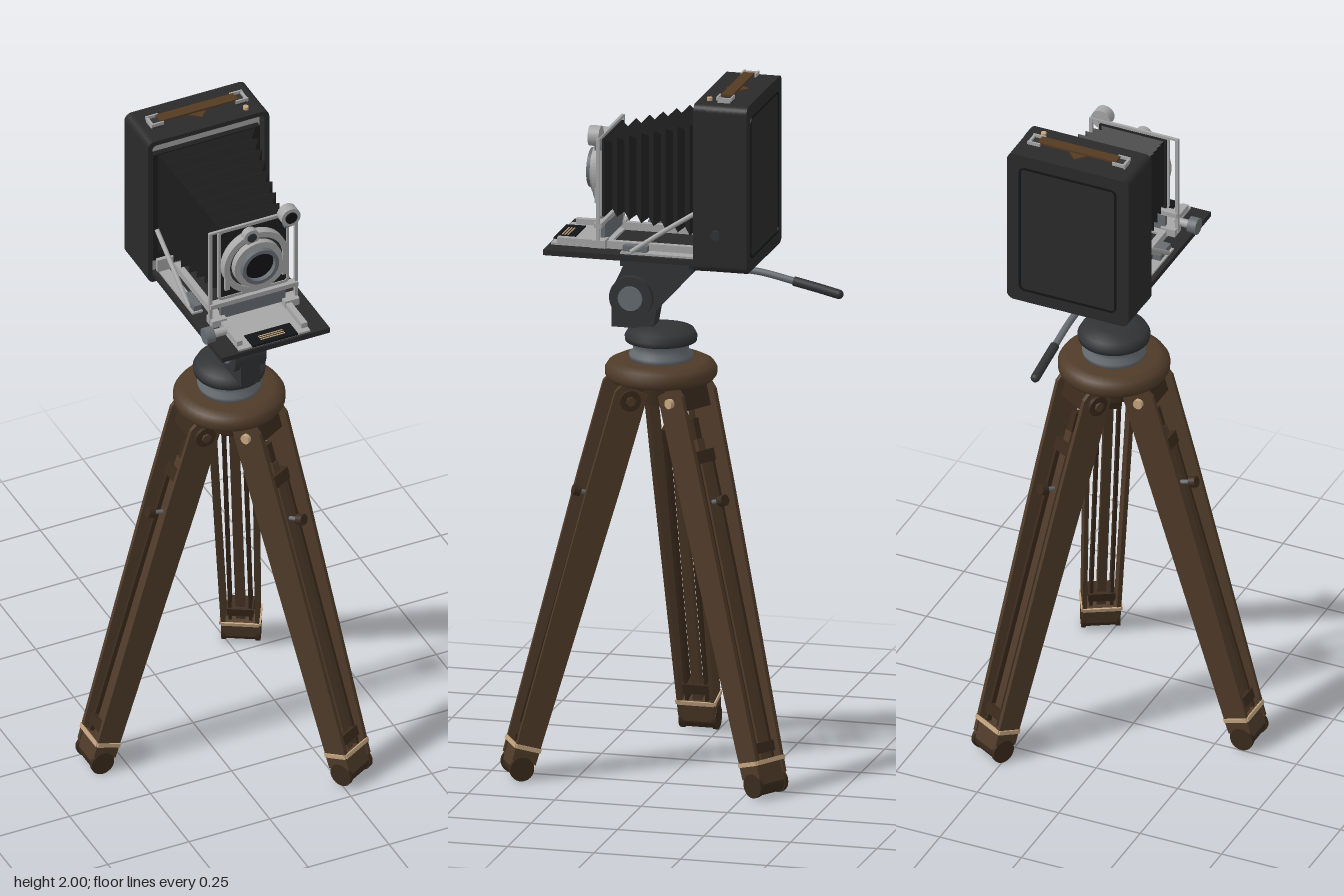
import * as THREE from 'three';

const mat = (name, hex, side = THREE.FrontSide) => {
  const m = new THREE.MeshStandardMaterial({ color: hex, side });
  m.name = name;
  return m;
};

export function createModel() {
  const wood = mat('brown wood', 0x4f3b29);
  const darkWood = mat('dark wood', 0x3a2a1c);
  const black = mat('black leather', 0x2a2a2b);
  const bellowsMat = mat('bellows black', 0x1f1f20, THREE.DoubleSide);
  const headMat = mat('head black', 0x313335);
  const silver = mat('silver', 0xa6a6a6);
  const steel = mat('steel', 0x666c71);
  const tan = mat('tan brass', 0xc4a480);
  const strapMat = mat('strap brown', 0x553a22);
  const lensMat = mat('lens black', 0x131416);

  const root = new THREE.Group();
  root.name = 'cameraOnTripod';
  const add = (parent, name, geo, material, x = 0, y = 0, z = 0) => {
    const m = new THREE.Mesh(geo, material);
    m.name = name;
    m.position.set(x, y, z);
    parent.add(m);
    return m;
  };
  const box = (p, name, w, h, d, m, x, y, z) => add(p, name, new THREE.BoxGeometry(w, h, d), m, x, y, z);
  // cylinder along a chosen axis
  const cyl = (p, name, r, len, m, x, y, z, axis = 'y', seg = 24) => {
    const g = new THREE.CylinderGeometry(r, r, len, seg);
    if (axis === 'x') g.rotateZ(Math.PI / 2);
    if (axis === 'z') g.rotateX(Math.PI / 2);
    return add(p, name, g, m, x, y, z);
  };
  const rod = (p, name, pts, r, m) => add(p, name, new THREE.TubeGeometry(
    new THREE.CatmullRomCurve3(pts.map(a => new THREE.Vector3(...a))), 16, r, 10), m);
  const roundRect = (w, h, r, S = THREE.Shape) => {
    const s = new S(), a = w / 2 - r, b = h / 2 - r;
    s.absarc(a, b, r, 0, Math.PI / 2);
    s.absarc(-a, b, r, Math.PI / 2, Math.PI);
    s.absarc(-a, -b, r, Math.PI, 1.5 * Math.PI);
    s.absarc(a, -b, r, 1.5 * Math.PI, 2 * Math.PI);
    s.closePath();
    return s;
  };
  const slab = (shape, depth) => new THREE.ExtrudeGeometry(shape, { depth, bevelEnabled: false, curveSegments: 6 });
  const frame = (w, h, t, depth, r = 0.02) => {
    const s = roundRect(w, h, r);
    s.holes.push(roundRect(w - 2 * t, h - 2 * t, r * 0.6, THREE.Path));
    return slab(s, depth);
  };
  const lathe = pts => new THREE.LatheGeometry(pts.map(p => new THREE.Vector2(...p)), 40);

  // ---------- tripod ----------
  const tripod = new THREE.Group();
  tripod.name = 'tripod';
  tripod.position.set(0.085, 0, 0.055);
  root.add(tripod);
  add(tripod, 'hubDisc', lathe([[0, 1.13], [0.148, 1.13], [0.157, 1.142], [0.157, 1.16], [0.148, 1.174], [0.125, 1.185], [0, 1.188]]), wood);
  cyl(tripod, 'hubCore', 0.075, 0.07, darkWood, 0, 1.1, 0);

  const L = 1.11, lean = Math.atan2(0.31, 1.065);
  const boardShape = new THREE.Shape();
  boardShape.moveTo(-0.035, 0.02);
  boardShape.lineTo(0.035, 0.02);
  boardShape.lineTo(0.047, 0.85);
  boardShape.lineTo(0.047, L);
  boardShape.lineTo(0.03, L + 0.03);
  boardShape.lineTo(-0.047, L + 0.01);
  boardShape.lineTo(-0.047, 0.85);
  boardShape.closePath();
  for (const angle of [Math.PI, Math.PI / 3, -Math.PI / 3]) {
    const arm = new THREE.Group();
    arm.name = 'legMount';
    arm.rotation.y = angle;
    tripod.add(arm);
    const leg = new THREE.Group();
    leg.name = 'leg';
    leg.position.set(0.415, 0.036, 0);
    leg.rotation.z = lean;
    arm.add(leg);
    for (const s of [-1, 1]) {
      const side = new THREE.Group();
      side.name = 'legSide';
      side.position.z = s * 0.047;
      side.rotation.x = s * 0.015;
      leg.add(side);
      add(side, 'sideBoard', slab(boardShape, 0.012), wood, 0, 0, -0.006);
      box(leg, 'innerRail', 0.04, 0.93, 0.009, darkWood, 0, 0.48, s * 0.029);
      cyl(leg, 'footSide', 0.0345, 0.012, darkWood, 0, 0, s * 0.048, 'z');
      box(leg, 'footBand', 0.072, 0.012, 0.006, tan, 0, 0.062, s * 0.055);
      box(leg, 'footBandFace', 0.005, 0.012, 0.106, tan, s * 0.037, 0.062, 0);
    }
    // sliding centre slat, cross pieces and clamp
    box(leg, 'centreSlat', 0.03, 0.96, 0.026, wood, 0, 0.5, 0);
    box(leg, 'slatTip', 0.025, 0.08, 0.02, darkWood, 0, 1.0, 0);
    box(leg, 'upperCrossbar', 0.05, 0.035, 0.068, darkWood, 0, 0.93, 0);
    box(leg, 'lowerCrossbar', 0.05, 0.03, 0.075, darkWood, 0, 0.1, 0);
    box(leg, 'footBlock', 0.062, 0.06, 0.104, wood, 0, 0.03, 0);
    cyl(leg, 'footRound', 0.031, 0.1, darkWood, 0, 0, 0, 'z');
    cyl(leg, 'clampKnob', 0.016, 0.02, darkWood, 0.055, 0.8, 0, 'x', 16);
    cyl(leg, 'clampScrew', 0.006, 0.06, steel, 0.03, 0.8, 0, 'x', 10);
    // hinge at the hub
    box(leg, 'hingeBlock', 0.06, 0.07, 0.11, darkWood, -0.005, L - 0.01, 0);
    cyl(leg, 'hingeKnob', 0.03, 0.014, darkWood, 0, L - 0.015, -0.073, 'z');
    cyl(leg, 'hingeNut', 0.014, 0.01, wood, 0, L - 0.015, -0.081, 'z', 6);
    cyl(leg, 'hingeBolt', 0.014, 0.016, tan, 0, L - 0.015, 0.074, 'z', 12);
  }

  // ---------- pan and tilt head ----------
  const head = new THREE.Group();
  head.name = 'panHead';
  root.add(head);
  add(head, 'panBase', lathe([[0, 1.185], [0.088, 1.185], [0.09, 1.2], [0.078, 1.21], [0.078, 1.235], [0.098, 1.24], [0, 1.24]]), steel, 0.085, 0, 0.055);
  add(head, 'panDisc', lathe([[0, 1.238], [0.1, 1.238], [0.102, 1.252], [0.092, 1.27], [0.05, 1.282], [0, 1.282]]), headMat, 0.085, 0, 0.055);
  const neck = new THREE.Shape();
  [[-0.19, 1.275], [-0.07, 1.275], [-0.06, 1.33], [0.04, 1.44], [0.045, 1.465], [-0.15, 1.465], [-0.19, 1.38]]
    .forEach(([x, y], i) => i ? neck.lineTo(x, y) : neck.moveTo(x, y));
  const neckGeo = slab(neck, 0.06);
  neckGeo.rotateY(Math.PI / 2);
  add(head, 'tiltNeck', neckGeo, headMat, 0.058, 0, 0);
  cyl(head, 'tiltBarrel', 0.062, 0.096, headMat, 0.088, 1.365, 0.13, 'x', 32);
  cyl(head, 'tiltCap', 0.035, 0.11, steel, 0.088, 1.365, 0.13, 'x');
  box(head, 'topPlate', 0.135, 0.022, 0.2, headMat, 0.088, 1.474, 0.055);
  box(head, 'mountPlate', 0.12, 0.024, 0.15, headMat, 0.088, 1.495, 0.055);
  rod(head, 'panRod', [[0.09, 1.465, 0.0], [0.09, 1.462, -0.12], [0.09, 1.457, -0.23], [0.09, 1.435, -0.34]], 0.01, steel);
  rod(head, 'panGrip', [[0.09, 1.437, -0.33], [0.09, 1.422, -0.4], [0.09, 1.408, -0.46]], 0.0135, headMat);
  add(head, 'gripEnd', new THREE.SphereGeometry(0.0135, 14, 10), headMat, 0.09, 1.408, -0.46);

  // ---------- camera body ----------
  const cam = new THREE.Group();
  cam.name = 'bellowsCamera';
  cam.position.x = 0.09;
  root.add(cam);
  add(cam, 'body', slab(roundRect(0.374, 0.484, 0.022), 0.116), black, 0, 1.738, -0.244);
  add(cam, 'bodyRim', frame(0.374, 0.484, 0.014, 0.038), black, 0, 1.738, -0.128);
  add(cam, 'backPanel', frame(0.3, 0.41, 0.006, 0.004), lensMat, 0, 1.738, -0.247);
  box(cam, 'frontLining', 0.344, 0.452, 0.006, silver, 0, 1.738, -0.125);
  box(cam, 'bellowsBoard', 0.33, 0.365, 0.02, bellowsMat, 0, 1.74, -0.114);
  cyl(cam, 'bodyKnob', 0.014, 0.012, headMat, 0.19, 1.607, -0.155, 'x', 16);
  cyl(cam, 'releaseButton', 0.008, 0.012, tan, 0.13, 1.983, -0.122, 'y', 12);

  // carrying strap
  box(cam, 'strap', 0.24, 0.006, 0.032, strapMat, 0, 1.994, -0.168);
  add(cam, 'strapDiamond', new THREE.CylinderGeometry(0.034, 0.034, 0.004, 4), strapMat, 0, 1.983, -0.168);
  for (const s of [-1, 1]) {
    box(cam, 'strapBase', 0.03, 0.008, 0.042, headMat, s * 0.13, 1.983, -0.168);
    box(cam, 'strapEnd', 0.007, 0.014, 0.036, silver, s * 0.145, 1.987, -0.168);
    for (const t of [-1, 1]) box(cam, 'strapLoop', 0.038, 0.01, 0.005, silver, s * 0.13, 1.991, -0.168 + t * 0.02);
  }

  // folding bed with its rails
  box(cam, 'bed', 0.334, 0.016, 0.45, black, 0, 1.515, 0.124);
  box(cam, 'bedPlate', 0.22, 0.006, 0.16, silver, 0, 1.526, 0.262);
  box(cam, 'bedFrontCatch', 0.14, 0.006, 0.055, lensMat, 0, 1.53, 0.318);
  for (let i = 0; i < 3; i++) box(cam, 'scaleLine', 0.075, 0.002, 0.003, tan, 0, 1.534, 0.313 + i * 0.008);
  for (const s of [-1, 1]) {
    box(cam, 'rail', 0.018, 0.022, 0.41, silver, s * 0.1, 1.534, 0.12);
    box(cam, 'sideTrack', 0.032, 0.006, 0.22, silver, s * 0.138, 1.526, 0.02);
    box(cam, 'trackFoot', 0.024, 0.022, 0.07, steel, s * 0.135, 1.535, 0.09);
    rod(cam, 'strut', [[s * 0.155, 1.665, -0.1], [s * 0.153, 1.6, 0.0], [s * 0.15, 1.53, 0.1]], 0.007, silver);
    box(cam, 'bedHinge', 0.05, 0.04, 0.012, silver, s * 0.135, 1.55, -0.09);
  }
  box(cam, 'hingeBar', 0.2, 0.03, 0.012, silver, 0, 1.553, -0.095);
  cyl(cam, 'focusKnob', 0.024, 0.026, steel, -0.162, 1.535, 0.25, 'x', 20);
  cyl(cam, 'focusShaft', 0.012, 0.07, silver, -0.13, 1.535, 0.25, 'x', 14);

  // bellows: alternating rectangular rings, tapering to the front
  const pleats = 8, rings = pleats * 2 + 1, pos = [], idx = [];
  for (let i = 0; i < rings; i++) {
    const t = i / (rings - 1), k = i % 2 ? -0.016 : 0;
    const w = 0.15 + (0.097 - 0.15) * t + k, h = 0.168 + (0.108 - 0.168) * t + k;
    const cy = 1.752 - 0.025 * t, z = -0.105 + 0.295 * t;
    pos.push(w, cy + h, z, -w, cy + h, z, -w, cy - h, z, w, cy - h, z);
    if (i) for (let j = 0; j < 4; j++) {
      const a = (i - 1) * 4 + j, b = (i - 1) * 4 + (j + 1) % 4;
      idx.push(a, b, b + 4, a, b + 4, a + 4);
    }
  }
  let bellowsGeo = new THREE.BufferGeometry();
  bellowsGeo.setAttribute('position', new THREE.Float32BufferAttribute(pos, 3));
  bellowsGeo.setIndex(idx);
  bellowsGeo = bellowsGeo.toNonIndexed();
  bellowsGeo.computeVertexNormals();
  add(cam, 'bellows', bellowsGeo, bellowsMat);

  // lens standard
  const ring = (name, r, inner, z, d, m) => {
    const s = new THREE.Shape().absarc(0, 0, r, 0, Math.PI * 2);
    s.holes.push(new THREE.Path().absarc(0, 0, inner, 0, Math.PI * 2));
    add(cam, name, new THREE.ExtrudeGeometry(s, { depth: d, bevelEnabled: false, curveSegments: 32 }), m, -0.002, 1.724, z);
  };
  box(cam, 'lensBoard', 0.205, 0.225, 0.012, bellowsMat, 0, 1.725, 0.195);
  add(cam, 'lensBoardTrim', frame(0.218, 0.238, 0.008, 0.008, 0.012), silver, 0, 1.725, 0.196);
  cyl(cam, 'shutter', 0.094, 0.02, headMat, -0.002, 1.724, 0.211, 'z', 40);
  ring('shutterRim', 0.1, 0.082, 0.202, 0.026, silver);
  ring('speedRing', 0.074, 0.056, 0.221, 0.02, silver);
  ring('lensBarrel', 0.056, 0.045, 0.221, 0.035, steel);
  cyl(cam, 'lensGlass', 0.046, 0.022, lensMat, -0.002, 1.724, 0.23, 'z', 32);
  cyl(cam, 'shutterDial', 0.024, 0.022, silver, -0.018, 1.815, 0.22, 'z');
  cyl(cam, 'dialCentre', 0.014, 0.004, headMat, -0.018, 1.815, 0.232, 'z');
  for (const s of [-1, 1]) {
    box(cam, 'shutterLever', 0.014, 0.045, 0.01, silver, s * 0.088, 1.67, 0.215);
    box(cam, 'standardUpright', 0.009, 0.31, 0.01, silver, s * 0.132, 1.69, 0.2);
    box(cam, 'standardFoot', 0.045, 0.022, 0.04, silver, s * 0.112, 1.54, 0.2);
  }
  box(cam, 'standardBase', 0.27, 0.014, 0.022, silver, 0, 1.594, 0.2);
  box(cam, 'standardTop', 0.27, 0.006, 0.008, silver, 0, 1.843, 0.2);
  box(cam, 'standardSlide', 0.2, 0.05, 0.012, steel, 0, 1.565, 0.195);

  // small viewfinder on the standard
  box(cam, 'finderArm', 0.02, 0.04, 0.02, steel, 0.1, 1.825, 0.207);
  cyl(cam, 'finder', 0.029, 0.032, silver, 0.103, 1.846, 0.215, 'z');
  cyl(cam, 'finderLens', 0.018, 0.004, lensMat, 0.103, 1.846, 0.232, 'z');

  return root;
}
